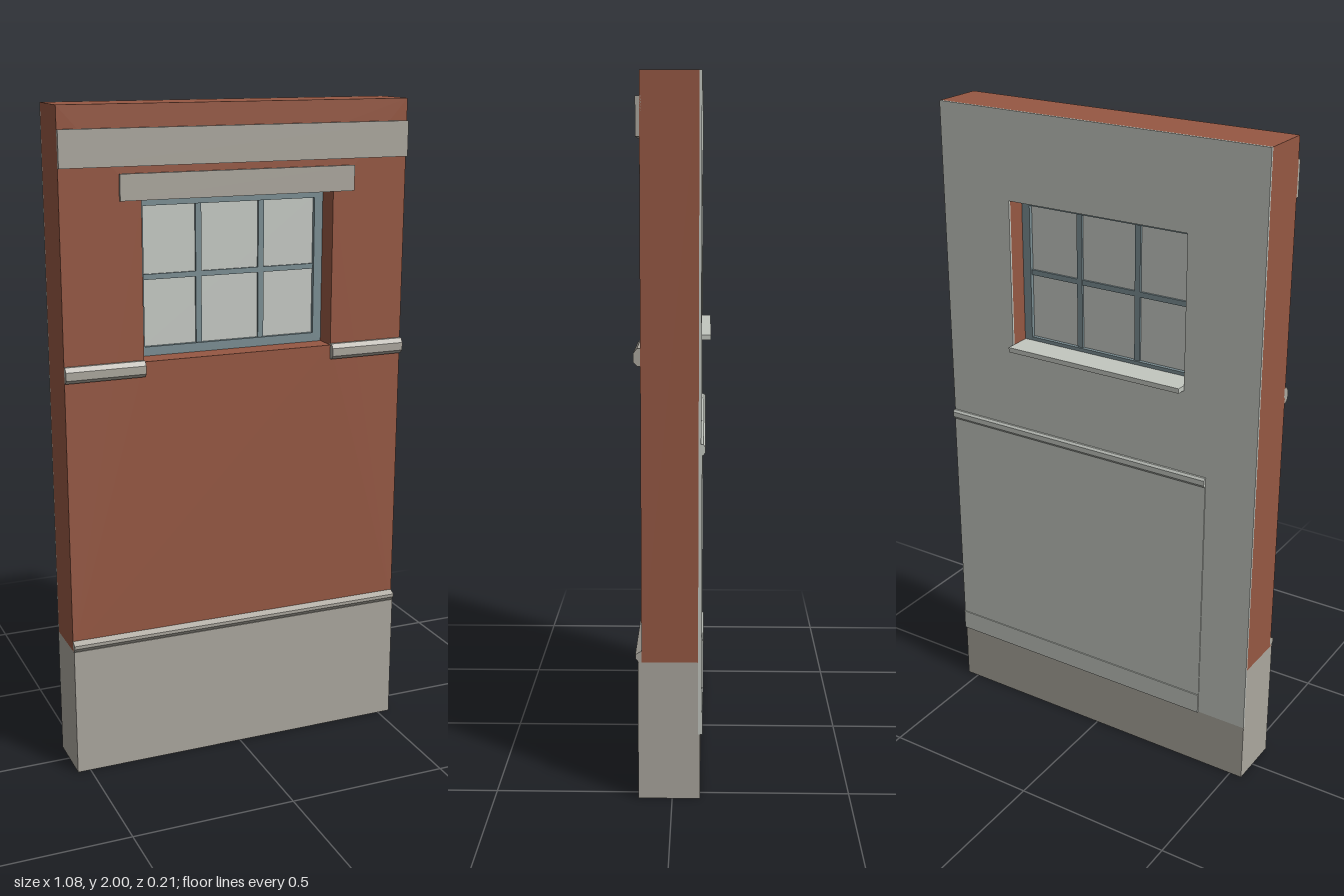
import * as THREE from 'three';

const paint = (name, color) => Object.assign(new THREE.MeshStandardMaterial({ color }), { name });

export function createModel() {
  const brick = paint('brick', 0x965843);
  const stone = paint('stone', 0xaba79e);
  const plaster = paint('plaster', 0xc3c7c0);
  const frame = paint('window frame', 0x7b8e93);
  const glass = paint('window glass', 0xc6cac5);

  const group = new THREE.Group();
  group.name = 'wallSection';
  const W = 0.54;
  const opening = { x: 0.3, y0: 1.27, y1: 1.735 };

  const add = (name, geometry, material) => {
    const mesh = new THREE.Mesh(geometry, material);
    mesh.name = name;
    group.add(mesh);
    return mesh;
  };

  // Box given by its limits on each axis
  const box = (name, material, x0, x1, y0, y1, z0, z1) =>
    add(name, new THREE.BoxGeometry(x1 - x0, y1 - y0, z1 - z0)
      .translate((x0 + x1) / 2, (y0 + y1) / 2, (z0 + z1) / 2), material);

  // Upright slab with a rectangular hole
  const slab = (name, material, [x, y0, y1], hole, z0, z1) => {
    const rect = (target, rx, a, b) => target.moveTo(-rx, a).lineTo(rx, a).lineTo(rx, b).lineTo(-rx, b).closePath();
    const shape = rect(new THREE.Shape(), x, y0, y1);
    shape.holes.push(rect(new THREE.Path(), ...hole));
    const geometry = new THREE.ExtrudeGeometry(shape, { depth: z1 - z0, bevelEnabled: false });
    return add(name, geometry.translate(0, 0, z0), material);
  };

  // Moulding: a (z, y) profile swept along x
  const moulding = (name, material, profile, x0, x1) => {
    const shape = new THREE.Shape(profile.map(([z, y]) => new THREE.Vector2(-z, y)));
    const geometry = new THREE.ExtrudeGeometry(shape, { depth: x1 - x0, bevelEnabled: false });
    return add(name, geometry.rotateY(Math.PI / 2).translate(x0, 0, 0), material);
  };

  // Wall body, inner lining and base
  const hole = [opening.x, opening.y0, opening.y1];
  slab('brickWall', brick, [W, 0.4, 2], hole, -0.072, 0.085);
  slab('plasterLining', plaster, [W, 0.19, 2], hole, -0.079, -0.072);
  box('plinth', stone, -W, W, 0, 0.4, -0.072, 0.095);
  box('plinthBack', stone, -W, W, 0, 0.19, -0.078, -0.072);

  // Front stonework
  moulding('plinthCap', stone,
    [[0.08, 0.4], [0.093, 0.4], [0.102, 0.412], [0.102, 0.422], [0.085, 0.432], [0.08, 0.432]], -W, W);
  box('upperBand', stone, -W, W, 1.83, 1.935, 0.08, 0.096);
  box('lintel', stone, -0.365, 0.365, 1.735, 1.81, 0.08, 0.094);
  const sillProfile = [[0.08, 1.227], [0.093, 1.227], [0.104, 1.238], [0.104, 1.262], [0.094, 1.275], [0.08, 1.275]];
  moulding('rightSillCourse', stone, sillProfile, -W, -opening.x);
  moulding('leftSillCourse', stone, sillProfile, opening.x, W);

  // Back wainscot, rail, skirting and inner sill
  box('wainscotPanel', plaster, -0.38, W, 0.25, 0.985, -0.082, -0.078);
  box('skirting', plaster, -0.38, W, 0.19, 0.255, -0.085, -0.077);
  moulding('wainscotRail', plaster,
    [[-0.077, 0.985], [-0.077, 1.015], [-0.085, 1.015], [-0.09, 1.008], [-0.09, 0.992], [-0.085, 0.985]].reverse(), -0.38, W);
  box('innerSill', plaster, -0.298, 0.298, 1.271, 1.286, -0.105, -0.015);

  // Window
  slab('windowFrame', frame, [opening.x, opening.y0, opening.y1], [0.273, 1.297, 1.71], -0.015, 0.015);
  for (const x of [-0.1, 0.1]) box('verticalGlazingBar', frame, x - 0.009, x + 0.009, 1.297, 1.71, -0.01, 0.01);
  box('horizontalGlazingBar', frame, -0.273, 0.273, 1.495, 1.511, -0.009, 0.009);
  box('glassPane', glass, -0.273, 0.273, 1.297, 1.71, -0.003, 0.003);

  return group;
}
